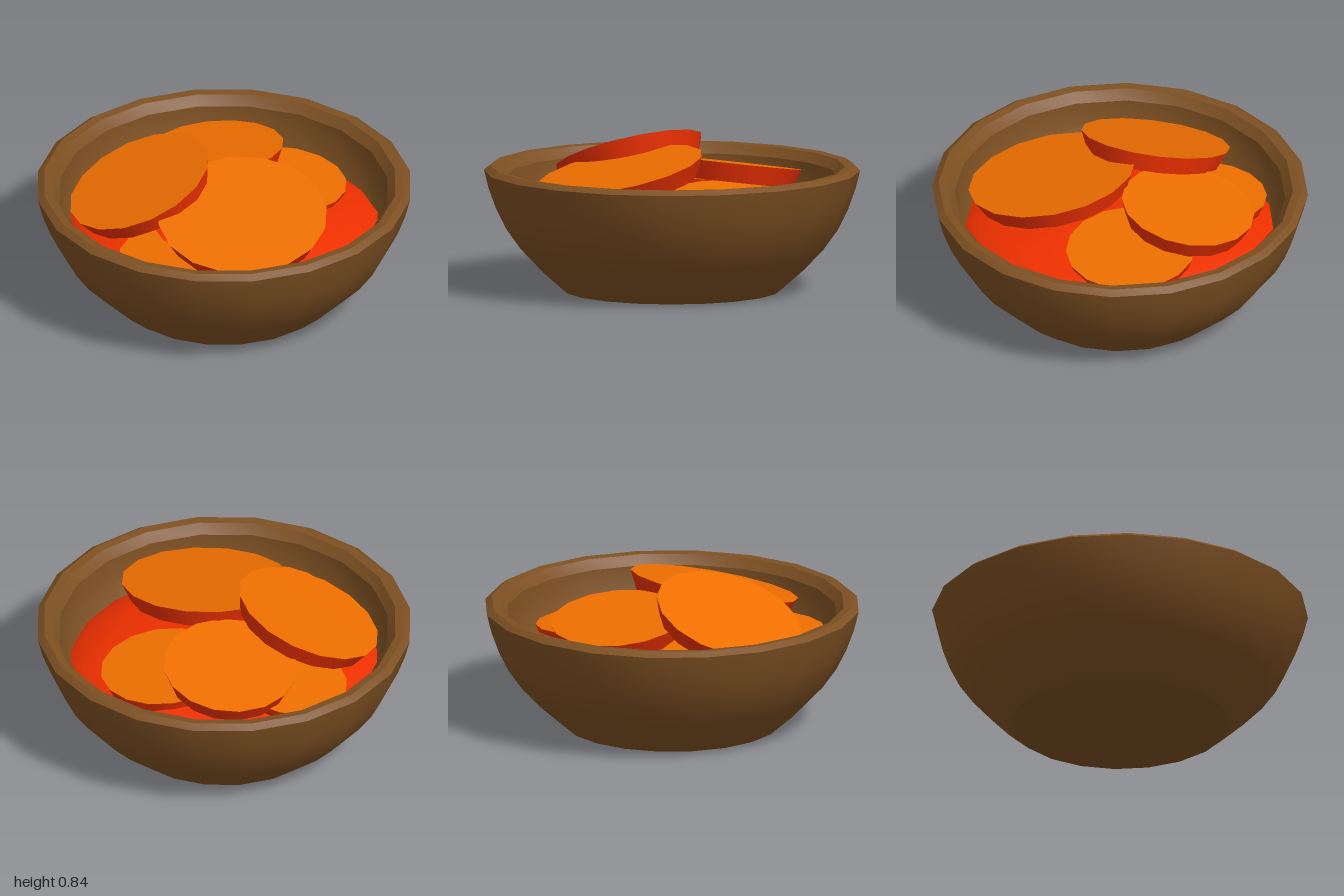
import * as THREE from 'three';
import { toCreasedNormals } from 'three/addons/utils/BufferGeometryUtils.js';

const wood = new THREE.MeshStandardMaterial({ color: 0x7d5022 });
const red = new THREE.MeshStandardMaterial({ color: 0xee3000 });
const orange = new THREE.MeshStandardMaterial({ color: 0xee6e00 });

const SIDES = 20;

function lathe(name, profile, material) {
  const points = profile.map(([r, y]) => new THREE.Vector2(r, y));
  const mesh = new THREE.Mesh(new THREE.LatheGeometry(points, SIDES), material);
  mesh.name = name;
  return mesh;
}

// A tapered round slice; (x, y, z) is the centre of its top face,
// slopeX and slopeZ are how fast that face rises along x and z.
function slice(name, x, y, z, radius, slopeX, slopeZ, thickness = 0.1) {
  const geometry = new THREE.CylinderGeometry(radius, radius * 0.89, thickness, 16);
  geometry.translate(0, -thickness / 2, 0);
  const mesh = new THREE.Mesh(geometry, [red, orange, red]);
  const normal = new THREE.Vector3(-slopeX, 1, -slopeZ).normalize();
  mesh.quaternion.setFromUnitVectors(new THREE.Vector3(0, 1, 0), normal);
  mesh.position.set(x, y, z);
  mesh.name = name;
  return mesh;
}

export function createModel() {
  const group = new THREE.Group();
  group.name = 'bowlOfSlices';

  // Bowl: base, rounded outer wall, bevelled rim, inner wall and floor
  const bowl = lathe('bowl', [
    [0, 0], [0.58, 0], [0.7, 0.105], [0.805, 0.215], [0.88, 0.32], [0.935, 0.43],
    [0.975, 0.54], [1, 0.64], [0.965, 0.665], [0.92, 0.66], [0.88, 0.61],
    [0.87, 0.49], [0.81, 0.36], [0.68, 0.21], [0.5, 0.1], [0, 0.1],
  ], wood);
  bowl.geometry = toCreasedNormals(bowl.geometry, 0.5);
  group.add(bowl);

  // Filling: a low mound with a slightly uneven surface
  const filling = lathe('filling', [
    [0.83, 0.385], [0.76, 0.435], [0.62, 0.475], [0.4, 0.505], [0, 0.52],
  ], red);
  const p = filling.geometry.attributes.position;
  for (let i = 0; i < p.count; i++) {
    const x = p.getX(i), z = p.getZ(i);
    p.setY(i, p.getY(i) + 0.012 * Math.sin(9 * x + 1) * Math.cos(8 * z));
  }
  filling.geometry.computeVertexNormals();
  group.add(filling);

  // Slices, lowest first
  group.add(
    slice('lowerFrontSlice', -0.34, 0.5, 0.41, 0.29, 0.05, 0),
    slice('lowerBackSlice', -0.31, 0.53, -0.41, 0.29, 0.08, 0.08),
    slice('lowerSideSlice', 0.345, 0.535, -0.19, 0.345, -0.09, 0),
    slice('backSlice', 0.025, 0.65, -0.395, 0.358, 0.04, 0.16),
    slice('frontSlice', 0.04, 0.675, 0.37, 0.453, 0.04, -0.22),
    slice('topSlice', -0.45, 0.69, -0.035, 0.4, 0.41, 0),
  );
  return group;
}
